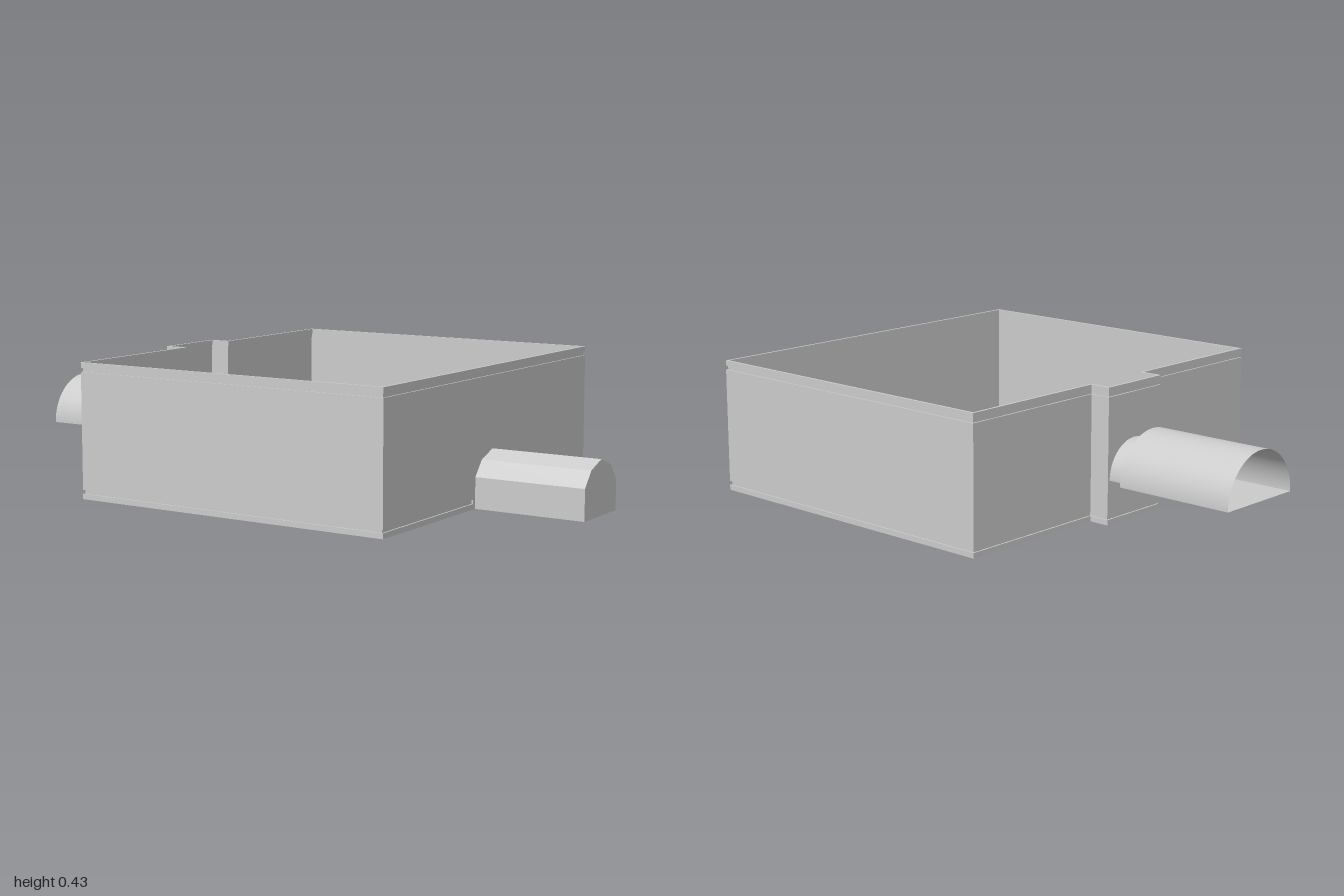
import * as THREE from 'three';

const material = new THREE.MeshStandardMaterial({ color: 0xcccccc, side: THREE.DoubleSide });

// Room outline as [x, z], running from one side of the doorway round to the other
const half = [[0.635, 0.12], [0.635, 0.643], [-0.462, 0.643], [-0.462, 0.125], [-0.53, 0.125]];
const mirrored = half.map(([x, z]) => [x, -z]).reverse();
const outline = [...half, ...mirrored];

// Sweeps a profile of [inset, y] along a plan path with mitred corners
function sweep(path, profile, closed = false) {
  const n = path.length;
  const normal = (i) => {
    if (!closed && (i < 0 || i >= n - 1)) return null;
    const a = path[(i + n) % n], b = path[(i + 1) % n];
    const dx = b[0] - a[0], dz = b[1] - a[1], l = Math.hypot(dx, dz);
    return [-dz / l, dx / l];
  };
  const rings = path.map(([x, z], i) => {
    const a = normal(i - 1) ?? normal(i), b = normal(i) ?? a;
    const k = 1 + a[0] * b[0] + a[1] * b[1];
    const mx = (a[0] + b[0]) / k, mz = (a[1] + b[1]) / k;
    return profile.map(([d, y]) => [x + mx * d, y, z + mz * d]);
  });
  const pos = [];
  for (let i = 0; i < (closed ? n : n - 1); i++) {
    const r = rings[i], s = rings[(i + 1) % n];
    for (let j = 0; j < profile.length - 1; j++) {
      pos.push(...r[j], ...s[j], ...s[j + 1], ...r[j], ...s[j + 1], ...r[j + 1]);
    }
  }
  const g = new THREE.BufferGeometry();
  g.setAttribute('position', new THREE.Float32BufferAttribute(pos, 3));
  g.computeVertexNormals();
  return g;
}

const shapeOf = (pts) => new THREE.Shape(pts.map(([a, b]) => new THREE.Vector2(a, b)));

// Flat panel drawn as (z, y) and placed at a given x
const panel = (shape, x) => new THREE.ShapeGeometry(shape, 24).rotateY(-Math.PI / 2).translate(x, 0, 0);

// Five-sided arch as (z, y) points, open at the bottom
const arch = (w, shoulder, kneeZ, kneeY, top) =>
  [[-w, 0], [-w, shoulder], [-kneeZ, kneeY], [0, top], [kneeZ, kneeY], [w, shoulder], [w, 0]];

// Half-round vault along x, standing on y = 0.14
const vault = (r, x0, x1) => new THREE.CylinderGeometry(r, r, x1 - x0, 32, 1, true, 0, Math.PI)
  .rotateZ(Math.PI / 2).translate((x0 + x1) / 2, 0.14, 0);

const floorPlate = (r, x0, x1) => new THREE.PlaneGeometry(x1 - x0, 2 * r)
  .rotateX(-Math.PI / 2).translate((x0 + x1) / 2, 0.14, 0);

export function createModel() {
  const model = new THREE.Group();
  const add = (name, geometry) => {
    const mesh = new THREE.Mesh(geometry, material);
    mesh.name = name;
    model.add(mesh);
  };

  // Thin walls, leaving out the doorway wall and the alcove back
  const wallProfile = [[0, 0.03], [0, 0.4]];
  add('frontWalls', sweep(half.slice(1), wallProfile));
  add('backWalls', sweep(mirrored.slice(0, -1), wallProfile));

  // Grooved trims along the top and bottom of the walls
  const trim = [[0, 0.4], [0.005, 0.4], [0.005, 0.413], [0, 0.413], [0, 0.43], [0.008, 0.43], [0.008, 0.413], [0.005, 0.413]];
  add('topTrim', sweep(outline.slice(1, -1), trim, true));
  add('bottomTrim', sweep(outline, trim.map(([d, y]) => [d, 0.43 - y])));

  // Wall with the doorway notch
  const outer = arch(0.12, 0.1, 0.075, 0.156, 0.183);
  const inner = arch(0.108, 0.098, 0.068, 0.147, 0.172);
  const notch = outer.map(([z, y]) => [z, Math.max(y, 0.03)]);
  add('doorwayWall', panel(shapeOf([[-0.643, 0.03], ...notch, [0.643, 0.03], [0.643, 0.4], [-0.643, 0.4]]), 0.635));

  // Frame round the doorway
  add('doorwayFrame', new THREE.ExtrudeGeometry(shapeOf([...outer, ...[...inner].reverse()]),
    { depth: 0.013, bevelEnabled: false }).rotateY(-Math.PI / 2).translate(0.635, 0, 0));

  // Faceted passage, open below and closed at its far end
  const passage = [];
  for (let i = 0; i < inner.length - 1; i++) {
    const [z0, y0] = inner[i], [z1, y1] = inner[i + 1];
    const a = [0.635, y0, z0], b = [1, y0, z0], c = [1, y1, z1], d = [0.635, y1, z1];
    passage.push(...a, ...b, ...c, ...a, ...c, ...d);
  }
  const passageGeometry = new THREE.BufferGeometry();
  passageGeometry.setAttribute('position', new THREE.Float32BufferAttribute(passage, 3));
  passageGeometry.computeVertexNormals();
  add('passageShell', passageGeometry);
  add('passageEnd', panel(shapeOf(inner), 1));

  // Alcove back with a half-round opening
  const alcove = shapeOf([[-0.125, 0.03], [0.125, 0.03], [0.125, 0.4], [-0.125, 0.4]]);
  alcove.holes.push(new THREE.Path().moveTo(0.115, 0.14).absarc(0, 0.14, 0.115, 0, Math.PI, false));
  add('alcoveBack', panel(alcove, -0.53));

  // Ledge with a bowed front edge, drawn as (x, -z)
  const ledge = new THREE.Shape();
  ledge.moveTo(-0.53, -0.125);
  ledge.lineTo(-0.462, -0.125);
  ledge.quadraticCurveTo(-0.424, 0, -0.462, 0.125);
  ledge.lineTo(-0.53, 0.125);
  add('alcoveLedge', new THREE.ExtrudeGeometry(ledge, { depth: 0.01, bevelEnabled: false, curveSegments: 12 })
    .rotateX(-Math.PI / 2).translate(0, 0.13, 0));

  // Narrow neck leading to the wide vault, which is open at its far end
  add('neckVault', vault(0.117, -0.602, -0.53));
  add('neckFloor', floorPlate(0.117, -0.602, -0.53));
  add('tunnelVault', vault(0.156, -1, -0.602));
  add('tunnelFloor', floorPlate(0.156, -1, -0.602));
  add('tunnelStep', new THREE.RingGeometry(0.117, 0.156, 32, 1, 0, Math.PI)
    .rotateY(Math.PI / 2).translate(-0.602, 0.14, 0));

  return model;
}
